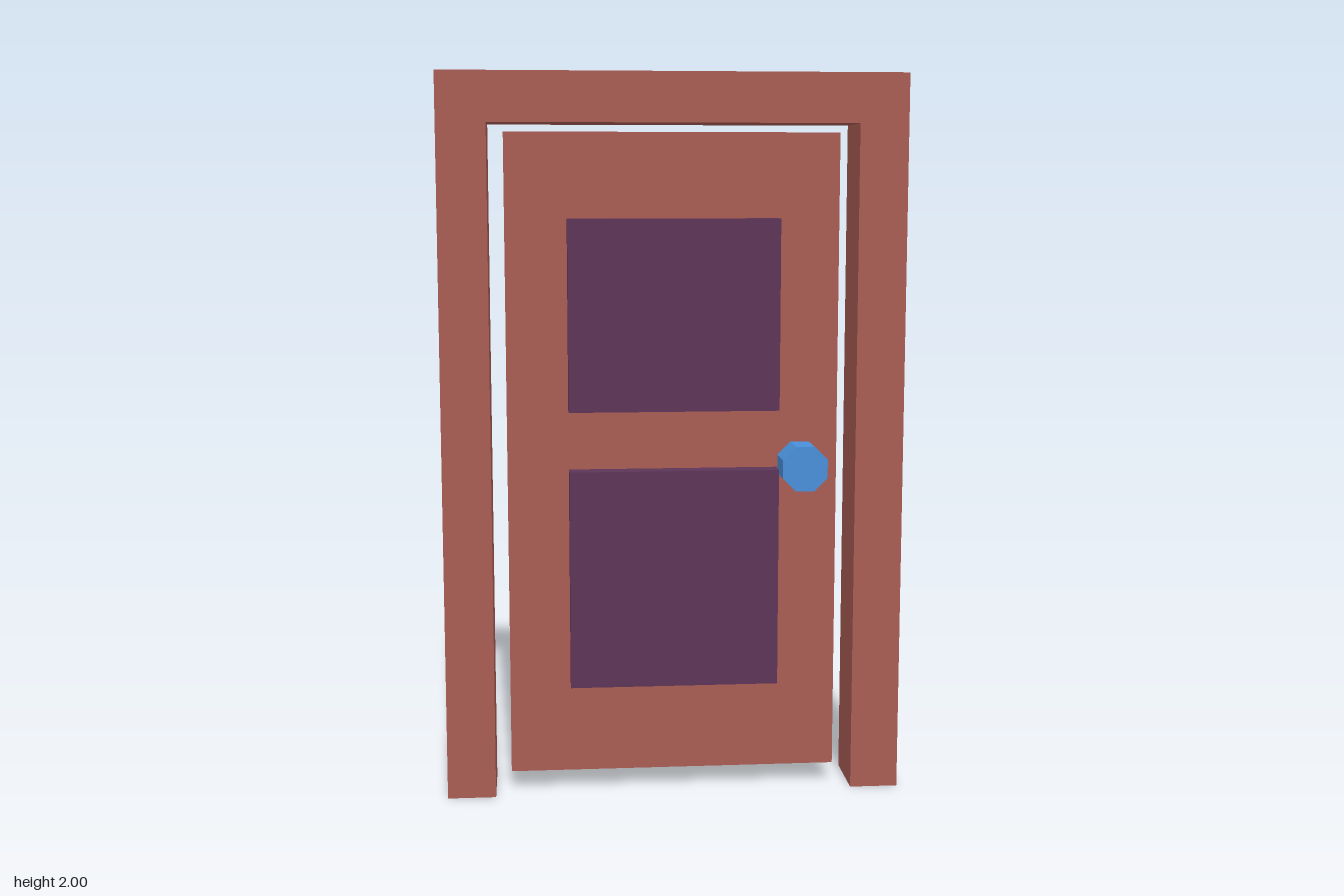
import * as THREE from 'three';

const material = (color) => new THREE.MeshStandardMaterial({ color, flatShading: true });

export function createModel() {
  const group = new THREE.Group();
  const wood = material(0xa85c53);
  const panelPaint = material(0x5c3558);
  const knobPaint = material(0x4a90d9);

  const add = (name, geometry, mat) => {
    const mesh = new THREE.Mesh(geometry, mat);
    mesh.name = name;
    group.add(mesh);
    return mesh;
  };

  // Box given by its lower and upper limits on each axis
  const box = (name, [x0, x1], [y0, y1], [z0, z1], mat) =>
    add(name, new THREE.BoxGeometry(x1 - x0, y1 - y0, z1 - z0), mat)
      .position.set((x0 + x1) / 2, (y0 + y1) / 2, (z0 + z1) / 2);

  // Frame: two posts and a lintel in one outline, open at the floor
  const outer = 0.637, inner = 0.503, lintel = 1.865;
  const outline = new THREE.Shape([
    [-outer, 0], [-inner, 0], [-inner, lintel], [inner, lintel],
    [inner, 0], [outer, 0], [outer, 2], [-outer, 2],
  ].map(([x, y]) => new THREE.Vector2(x, y)));
  const frame = new THREE.ExtrudeGeometry(outline, { depth: 0.185, bevelEnabled: false });
  add('doorFrame', frame, wood).position.z = -0.115;

  // Door leaf, recessed at the front and slightly proud at the back
  const doorFront = 0.015;
  box('door', [-0.459, 0.459], [0.055, 1.842], [-0.124, doorFront], wood);

  // Raised panels
  box('upperPanel', [-0.29, 0.29], [1.085, 1.61], [doorFront - 0.02, 0.069], panelPaint);
  box('lowerPanel', [-0.29, 0.29], [0.31, 0.92], [doorFront - 0.02, 0.069], panelPaint);

  // Eight-sided knob with flats on top and sides
  const knobFront = 0.121, knobDepth = knobFront - doorFront;
  const knob = new THREE.CylinderGeometry(0.067, 0.067, knobDepth, 8);
  knob.rotateY(Math.PI / 8).rotateX(Math.PI / 2);
  add('doorKnob', knob, knobPaint).position.set(0.355, 0.929, doorFront + knobDepth / 2);

  return group;
}
